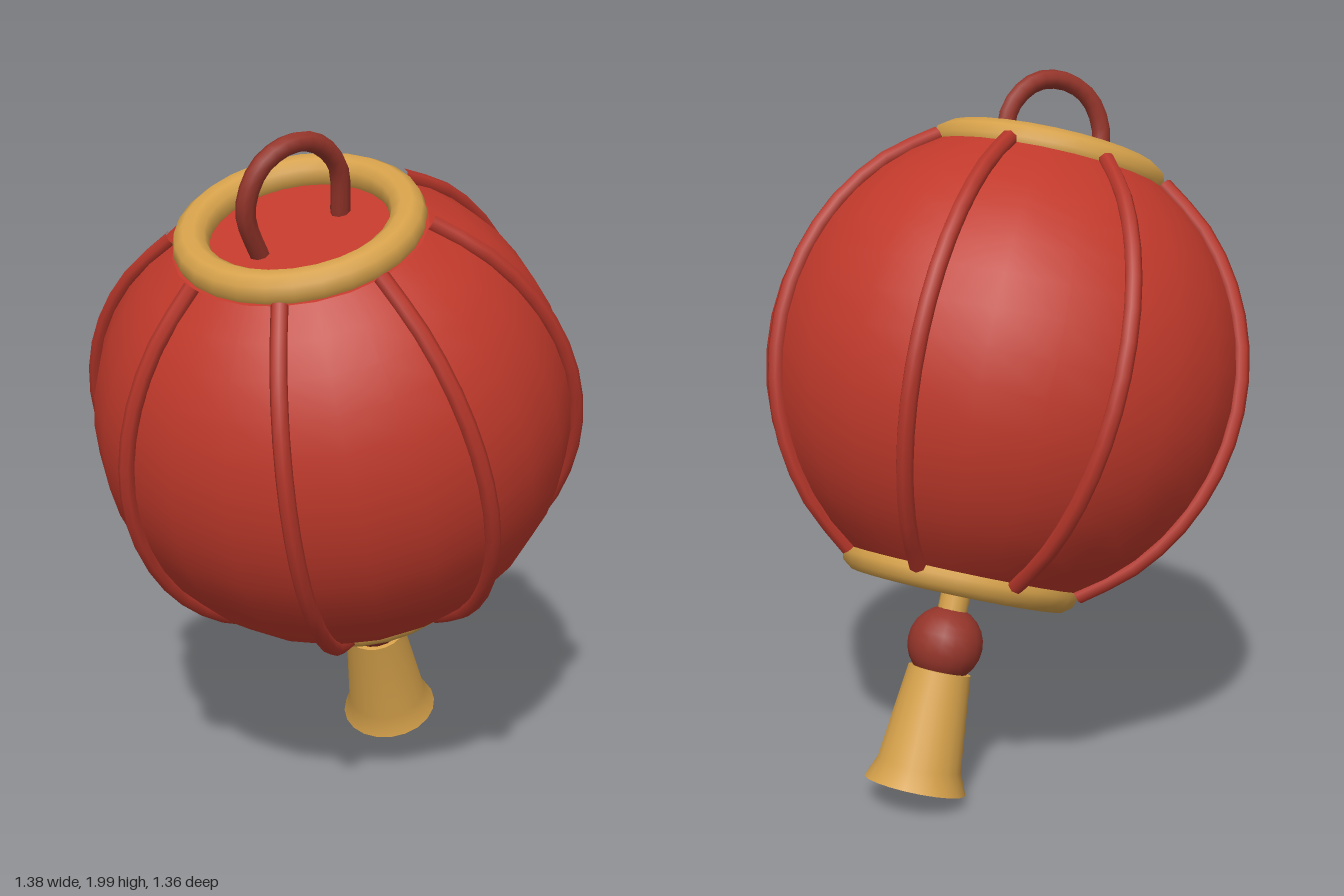
import * as THREE from 'three';

export function createModel() {
  const model = new THREE.Group();
  model.name = 'paperLantern';

  const mat = (name, color) => {
    const m = new THREE.MeshStandardMaterial({ color });
    m.name = name;
    return m;
  };
  const red = mat('lanternRed', 0xc0392b);
  const ribRed = mat('ribRed', 0xb5362a);
  const darkRed = mat('cordRed', 0x95352a);
  const gold = mat('gold', 0xd4a04a);

  // Everything is built upright around its own axis, then the whole lantern is tilted
  const lantern = new THREE.Group();
  lantern.name = 'tiltedLantern';
  const up = new THREE.Vector3(-0.337, 0.936, 0.097).normalize();
  const side = new THREE.Vector3(0.914, 0.305, 0.233);
  side.addScaledVector(up, -side.dot(up)).normalize();
  const front = new THREE.Vector3().crossVectors(side, up);
  lantern.quaternion.setFromRotationMatrix(new THREE.Matrix4().makeBasis(side, up, front));
  lantern.position.set(0, 1.185, 0);
  model.add(lantern);

  const add = (name, geometry, material, y = 0) => {
    const mesh = new THREE.Mesh(geometry, material);
    mesh.name = name;
    mesh.position.y = y;
    lantern.add(mesh);
    return mesh;
  };

  const R = 0.67;      // body radius
  const CAP = 0.575;   // height of the flat ends
  const limit = Math.asin(CAP / R);

  // Round body, cut flat at both ends
  const profile = [];
  for (let i = 0; i <= 14; i++) {
    const a = -limit + (2 * limit * i) / 14;
    profile.push(new THREE.Vector2(R * Math.cos(a), R * Math.sin(a)));
  }
  add('body', new THREE.LatheGeometry(profile, 24), red);

  // End discs and gold rings
  for (const s of [1, -1]) {
    const end = s > 0 ? 'top' : 'bottom';
    const disc = new THREE.CircleGeometry(R * Math.cos(limit), 24).rotateX((-s * Math.PI) / 2);
    add(end + 'Disc', disc, red, s * CAP);
    add(end + 'Ring', new THREE.TorusGeometry(0.29, 0.05, 10, 28).rotateX(Math.PI / 2), gold, s * 0.592);
  }

  // Eight ribs running from ring to ring
  const ribPoints = [];
  for (let i = 0; i <= 8; i++) {
    const a = -limit + (2 * limit * i) / 8;
    ribPoints.push(new THREE.Vector3(0.678 * Math.cos(a), 0.678 * Math.sin(a), 0));
  }
  const ribGeometry = new THREE.TubeGeometry(new THREE.CatmullRomCurve3(ribPoints), 16, 0.023, 7);
  for (let i = 0; i < 8; i++) {
    add('rib', ribGeometry, ribRed).rotation.y = (i * Math.PI) / 4;
  }

  // Hanging loop
  const loop = [[-0.13, 0.55], [-0.15, 0.71], [-0.09, 0.805], [0, 0.833], [0.09, 0.805], [0.15, 0.71], [0.13, 0.55]];
  const loopCurve = new THREE.CatmullRomCurve3(loop.map(([x, y]) => new THREE.Vector3(x, y, 0)));
  add('hangingLoop', new THREE.TubeGeometry(loopCurve, 20, 0.027, 8), darkRed);

  // Tassel: stem, knot and flared skirt
  add('tasselStem', new THREE.CylinderGeometry(0.042, 0.042, 0.26, 12), gold, -0.68);
  add('tasselKnot', new THREE.SphereGeometry(0.107, 18, 12), darkRed, -0.795);
  const skirt = [[0.145, -1.2], [0.12, -1.14], [0.09, -0.87]].map(([x, y]) => new THREE.Vector2(x, y));
  add('tasselSkirt', new THREE.LatheGeometry(skirt, 20), gold);
  add('tasselTop', new THREE.CircleGeometry(0.09, 20).rotateX(-Math.PI / 2), gold, -0.87);
  add('tasselBase', new THREE.CircleGeometry(0.145, 20).rotateX(Math.PI / 2), gold, -1.2);

  return model;
}
